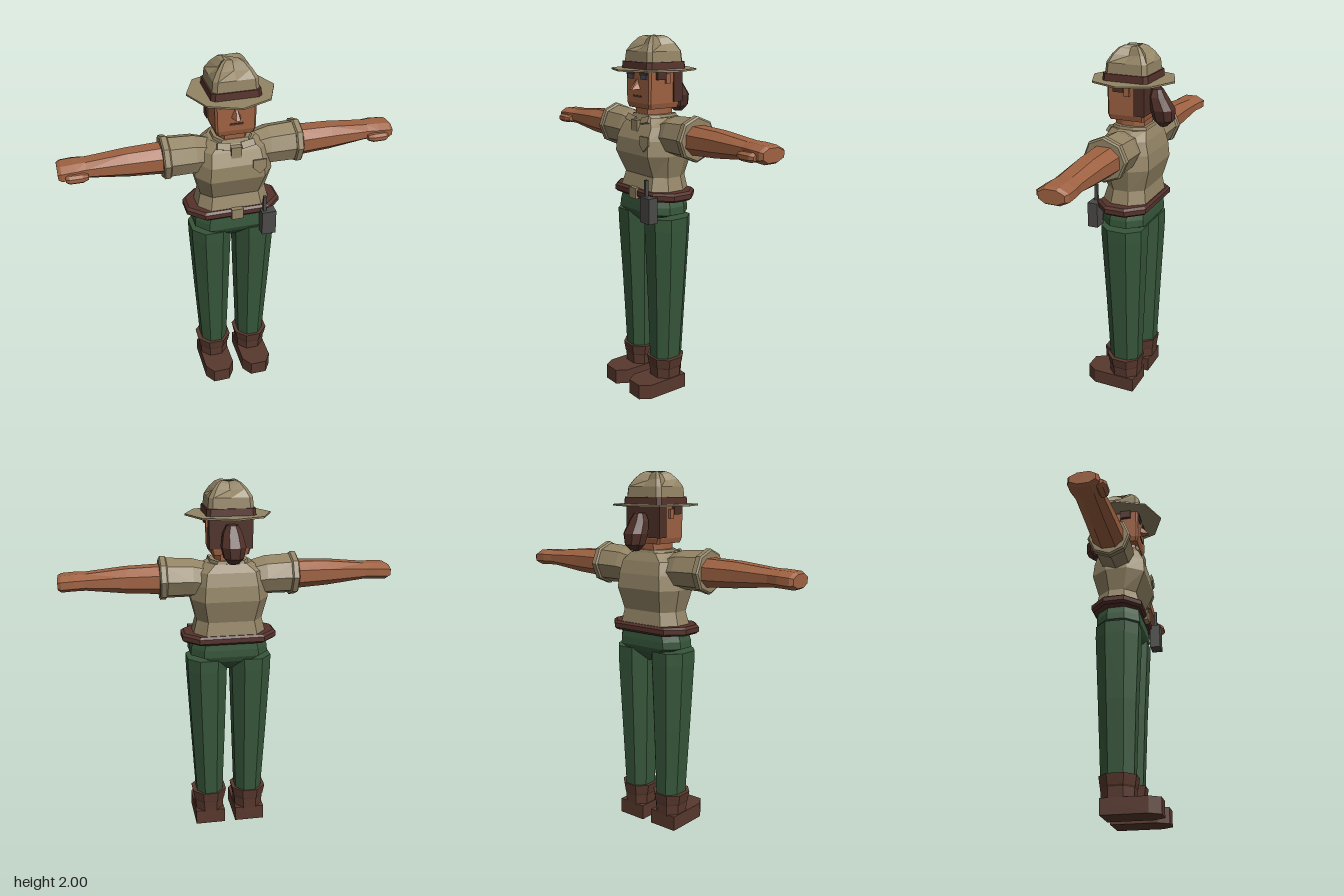
import * as THREE from 'three';

const mat = (name, color) => Object.assign(new THREE.MeshStandardMaterial({ color }), { name });

// Cross-section outline: a rectangle with its corners cut from (1, v) to (u, 1)
const section = (u, v) => [[1, -v], [1, v], [u, 1], [-u, 1], [-1, v], [-1, -v], [-u, -1], [u, -1]];
const ROUND = section(0.45, 0.45), BODY = section(0.7, 0.4), BLOCK = section(0.9, 0.9);
const POINTED = Array.from({ length: 8 }, (_, i) => [Math.cos(i * Math.PI / 4), Math.sin(i * Math.PI / 4)]);

// Faceted solid through rings [y, half width, front depth, back depth, centre x, centre z]
function loft(rings, outline = ROUND, bend = null) {
  const pts = rings.map(([y, w, f, b = f, cx = 0, cz = 0]) => outline.map(([u, v]) => {
    const p = [cx + u * w, y, cz + v * (v > 0 ? f : b)];
    return bend ? bend(p, u, v) : p;
  }));
  const out = [], n = outline.length;
  const tri = (...t) => t.forEach(p => out.push(...p));
  for (let r = 0; r + 1 < pts.length; r++) for (let i = 0; i < n; i++) {
    const j = (i + 1) % n, A = pts[r], B = pts[r + 1];
    tri(A[i], B[i], A[j]);
    tri(A[j], B[i], B[j]);
  }
  const lo = pts[0], hi = pts[pts.length - 1];
  for (let i = 1; i + 1 < n; i++) {
    tri(lo[0], lo[i], lo[i + 1]);
    tri(hi[0], hi[i + 1], hi[i]);
  }
  const g = new THREE.BufferGeometry();
  g.setAttribute('position', new THREE.Float32BufferAttribute(out, 3));
  g.computeVertexNormals();
  return g;
}

// Box given by its limits
const box = (x0, x1, y0, y1, z0, z1) => new THREE.BoxGeometry(x1 - x0, y1 - y0, z1 - z0)
  .translate((x0 + x1) / 2, (y0 + y1) / 2, (z0 + z1) / 2).toNonIndexed();

// Mirror across x, keeping faces outward
function mirrored(geo) {
  const g = geo.clone(), p = g.attributes.position, a = p.array;
  for (let i = 0; i < p.count; i += 3) for (let k = 0; k < 3; k++) {
    const s = (i + 1) * 3 + k, t = (i + 2) * 3 + k;
    [a[s], a[t]] = [a[t], a[s]];
  }
  for (let i = 0; i < p.count; i++) a[i * 3] *= -1;
  g.computeVertexNormals();
  return g;
}

export function createModel() {
  const khaki = mat('khaki', 0x938465), skin = mat('skin', 0x9f6242), leather = mat('leather', 0x58382d);
  const hairMat = mat('hair', 0x4e2f27), green = mat('trouserGreen', 0x36563a), grey = mat('radioGrey', 0x4b4a48);
  const eyeMat = mat('eyeGrey', 0x4c5460), strap = mat('strapBrown', 0x55322b);
  const model = new THREE.Group();
  const add = (name, geo, m) => {
    const mesh = new THREE.Mesh(geo, m);
    mesh.name = name;
    model.add(mesh);
    return mesh;
  };
  const pair = (name, geo, m) => {
    add(name + 'Left', geo, m);
    add(name + 'Right', mirrored(geo), m);
  };

  // Legs and boots
  pair('leg', loft([
    [0.19, 0.075, 0.085, 0.09, 0.115], [0.6, 0.094, 0.1, 0.105, 0.12],
    [0.97, 0.109, 0.118, 0.12, 0.124], [1.04, 0.111, 0.12, 0.12, 0.123]]), green);
  pair('bootShaft', loft([
    [0.08, 0.08, 0.085, 0.085, 0.117], [0.14, 0.083, 0.088, 0.088, 0.117],
    [0.15, 0.088, 0.092, 0.09, 0.117], [0.205, 0.098, 0.1, 0.097, 0.117]]), leather);
  const foot = section(0.55, 0.74);
  pair('bootFoot', loft([[0, 0.085, 0.225, 0.08, 0.117], [0.085, 0.085, 0.225, 0.08, 0.117]],
    foot.map(([u, v]) => v < 0 ? [Math.sign(u), u * u === 1 ? -0.9 : -1] : [u, v])), leather);

  // Hips
  add('hips', loft([[0.97, 0.03, 0.05], [1.03, 0.13, 0.108], [1.06, 0.215, 0.122, 0.12],
    [1.1, 0.212, 0.118, 0.12], [1.15, 0.195, 0.112, 0.115]], BODY), green);

  // Shirt, collar and front tab
  add('shirt', loft([
    [1.18, 0.2, 0.12, 0.13], [1.26, 0.18, 0.098, 0.118], [1.38, 0.21, 0.15, 0.15],
    [1.46, 0.2, 0.145, 0.143], [1.53, 0.185, 0.112, 0.125], [1.575, 0.12, 0.088, 0.105]], BODY), khaki);
  add('collar', loft([[1.55, 0.11, 0.098, 0.11], [1.59, 0.1, 0.085, 0.1]], BODY), khaki);
  add('placket', box(-0.03, 0.025, 1.5, 1.56, 0.08, 0.128), khaki);
  const flap = box(-0.035, 0.035, -0.018, 0.018, -0.008, 0.008);
  flap.rotateX(-0.5).rotateZ(0.2).translate(0.065, 1.562, 0.102);
  pair('collarFlap', flap, khaki);

  // Shield badge
  const shield = new THREE.Shape([[-0.037, 0.04], [0.037, 0.04], [0.037, -0.005], [0, -0.04], [-0.037, -0.005]]
    .map(p => new THREE.Vector2(...p)));
  const badge = add('badge', new THREE.ExtrudeGeometry(shield, { depth: 0.009, bevelEnabled: false }), khaki);
  badge.position.set(0.117, 1.445, 0.146);
  badge.rotation.x = -0.06;

  // Belt, buckle and radio
  add('belt', loft([[1.138, 0.245, 0.125, 0.135], [1.15, 0.26, 0.137, 0.146],
    [1.175, 0.26, 0.137, 0.146], [1.187, 0.245, 0.125, 0.135]], section(0.68, 0.4)), strap);
  add('buckle', box(-0.032, 0.032, 1.132, 1.192, 0.12, 0.146), khaki);
  add('radio', box(0.127, 0.205, 1.03, 1.17, 0.127, 0.185), grey);
  add('radioAntenna', box(0.137, 0.154, 1.16, 1.26, 0.15, 0.167), grey);

  // Sleeves, arms and hands, drawn upright then laid out sideways
  const sideways = (rings, outline) => loft(rings, outline).rotateZ(-Math.PI / 2);
  pair('sleeve', sideways([[0.12, 0.095, 0.085, 0.1, -1.475], [0.2, 0.106, 0.1, 0.115, -1.487],
    [0.345, 0.11, 0.105, 0.115, -1.49]], POINTED), khaki);
  pair('sleeveCuff', sideways([[0.335, 0.11, 0.108, 0.115, -1.49], [0.342, 0.12, 0.115, 0.125, -1.49],
    [0.369, 0.12, 0.115, 0.125, -1.49], [0.376, 0.11, 0.106, 0.115, -1.49]], POINTED), khaki);
  pair('arm', sideways([[0.35, 0.075, 0.08, 0.09, -1.487], [0.55, 0.066, 0.073, 0.083, -1.49],
    [0.76, 0.044, 0.062, 0.08, -1.492], [0.82, 0.044, 0.07, 0.09, -1.492],
    [0.885, 0.044, 0.07, 0.088, -1.488], [0.903, 0.034, 0.06, 0.075, -1.488]]), skin);
  pair('thumb', sideways([[0.755, 0.014, 0.018, 0.03, -1.478, 0.068], [0.785, 0.023, 0.03, 0.03, -1.478, 0.07],
    [0.85, 0.023, 0.03, 0.03, -1.478, 0.07], [0.868, 0.014, 0.02, 0.03, -1.478, 0.068]]), skin);

  // Head and face
  add('neck', loft([[1.54, 0.078, 0.08, 0.085], [1.65, 0.076, 0.08, 0.085]], BODY), skin);
  add('head', loft([[1.622, 0.098, 0.098, 0.095], [1.65, 0.106, 0.106, 0.1],
    [1.83, 0.11, 0.106, 0.1]], BLOCK), skin);
  add('nose', loft([[1.722, 0.028, 0.152, 0], [1.775, 0.007, 0.11, 0]], section(0.4, 0.65)), skin);
  add('mouth', box(-0.036, 0.036, 1.68, 1.69, 0.1, 0.11), hairMat);
  pair('eye', box(0.032, 0.085, 1.775, 1.797, 0.102, 0.111), eyeMat);
  pair('eyebrow', box(0.026, 0.09, 1.797, 1.812, 0.102, 0.113), hairMat);
  pair('ear', box(0.1, 0.122, 1.755, 1.805, -0.025, 0.005), skin);

  // Hair
  add('backHair', box(-0.116, 0.116, 1.655, 1.83, -0.107, -0.05), hairMat);
  pair('sideHair', box(0.1, 0.126, 1.775, 1.825, 0.005, 0.065), hairMat);
  add('ponytail', loft([[1.59, 0.025, 0.02, 0.02, 0, -0.17], [1.622, 0.05, 0.052, 0.052, 0, -0.172],
    [1.68, 0.063, 0.06, 0.06, 0, -0.165], [1.745, 0.05, 0.045, 0.045, 0, -0.138],
    [1.785, 0.03, 0.028, 0.028, 0, -0.132]]), hairMat);

  // Hat: flat brim, band and a crown pinched on each side
  add('hatBrim', loft([[1.82, 0.23, 0.23], [1.829, 0.23, 0.23]], POINTED), khaki);
  add('hatBand', loft([[1.828, 0.131, 0.128], [1.866, 0.128, 0.125]], section(0.85, 0.85)), strap);
  const crownOutline = section(0.82, 0.82).flatMap((p, i) => i % 2 ? [p] : [p.map((c, k) => 
    Math.abs(p[k]) === 1 ? c * 1 : 0), p]).filter(([u, v]) => u || v);
  crownOutline.sort((a, b) => Math.atan2(a[1], a[0]) - Math.atan2(b[1], b[0]));
  const pinch = ([x, y, z], u, v) => {
    const k = (u === 0 || v === 0) && y > 1.93 ? 0.72 : 1;
    return [x * k, k < 1 ? y - 0.008 : y, z * k];
  };
  add('hatCrown', loft([[1.85, 0.122, 0.119], [1.92, 0.115, 0.112], [1.96, 0.09, 0.088],
    [1.99, 0.062, 0.06], [2, 0.04, 0.038]], crownOutline, pinch), khaki);

  return model;
}
